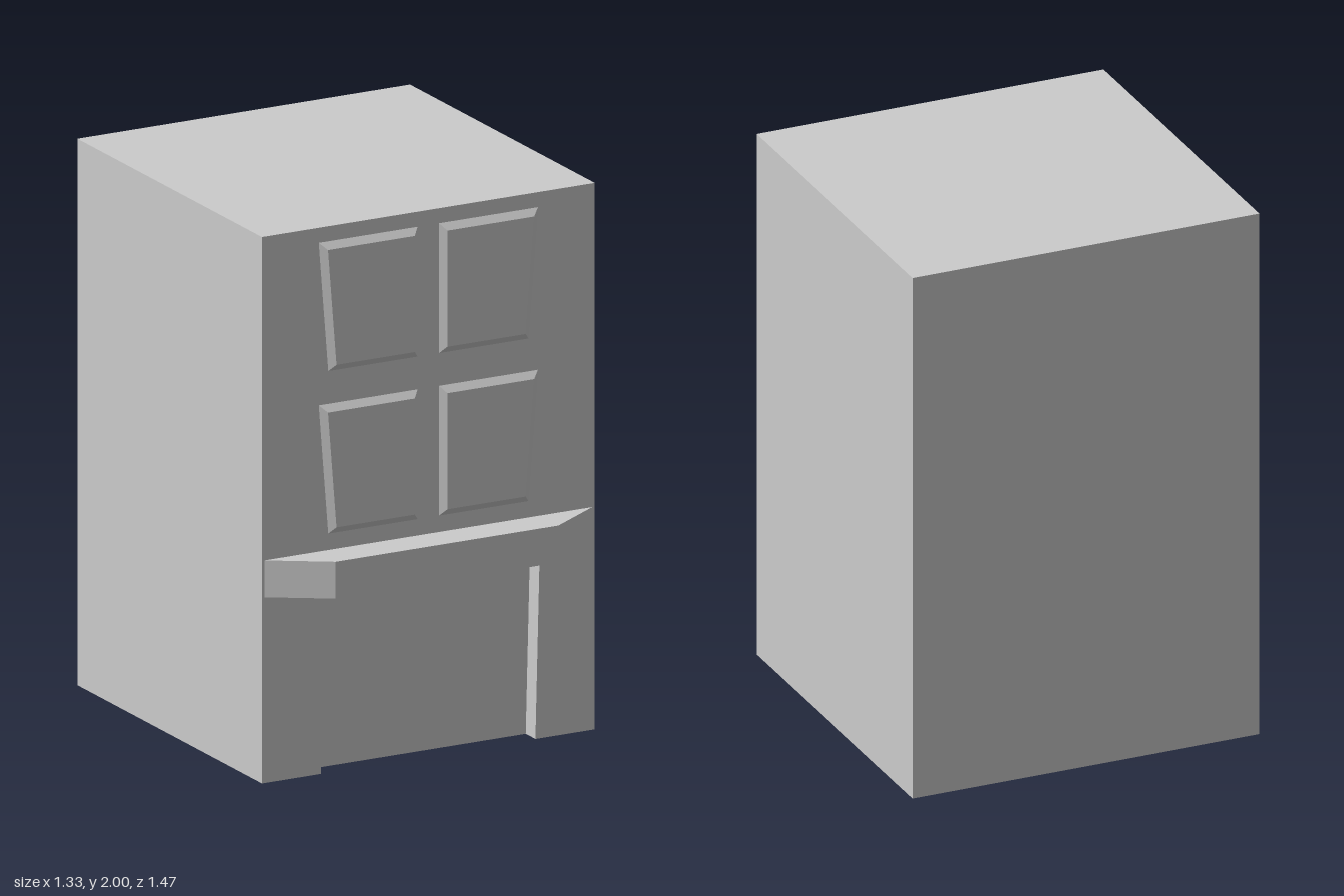
import * as THREE from 'three';

const W = 0.665, H = 2, BACK = -0.735, FRONT = 0.6;      // cabinet shell
const SHELF_LOW = 0.68, SHELF_TOP = 0.815, SHELF_X = 0.655;
const RECESS_TOP = 0.445, RECESS_FOOT = 0.428;            // half widths

const material = new THREE.MeshStandardMaterial({ color: 0xcccccc, side: THREE.DoubleSide });

// Flat four-cornered faces, corners counter-clockwise from outside
function quads(faces) {
  const geometry = new THREE.BufferGeometry();
  const points = faces.flatMap(([a, b, c, d]) => [a, b, c, a, c, d]).flat();
  geometry.setAttribute('position', new THREE.Float32BufferAttribute(points, 3));
  geometry.computeVertexNormals();
  return geometry;
}

// Strip of faces joining two outlines of equal length
function strip(a, b, closed) {
  const faces = [];
  const count = closed ? a.length : a.length - 1;
  for (let i = 0; i < count; i++) {
    const j = (i + 1) % a.length;
    faces.push([a[i], a[j], b[j], b[i]]);
  }
  return faces;
}

const atZ = (outline, z) => outline.map(([x, y]) => [x, y, z]);

export function createModel() {
  const group = new THREE.Group();
  const add = (name, geometry) => {
    const mesh = new THREE.Mesh(geometry, material);
    mesh.name = name;
    group.add(mesh);
    return mesh;
  };

  // Back, sides and roof; the underside is open
  const depth = FRONT - BACK, midZ = (FRONT + BACK) / 2;
  add('backWall', new THREE.PlaneGeometry(2 * W, H).rotateY(Math.PI).translate(0, H / 2, BACK));
  for (const s of [1, -1]) {
    add(s > 0 ? 'leftWall' : 'rightWall',
      new THREE.PlaneGeometry(depth, H).rotateY(s * Math.PI / 2).translate(s * W, H / 2, midZ));
  }
  add('roof', new THREE.PlaneGeometry(2 * W, depth).rotateX(-Math.PI / 2).translate(0, H, midZ));

  // Raised panels: tapered toward the foot on their outer side
  const holes = [];
  for (const y of [0.875, 1.47]) {
    for (const s of [1, -1]) {
      let outer = [[0.043, y], [0.4, y], [0.438, y + 0.475], [0.043, y + 0.475]];
      let inner = [[0.065, y + 0.025], [0.378, y + 0.025], [0.412, y + 0.45], [0.065, y + 0.45]];
      if (s < 0) [outer, inner] = [outer, inner].map(o => o.map(([x, v]) => [-x, v]).reverse());
      const rim = atZ(outer, FRONT), face = atZ(inner, FRONT + 0.02);
      add((y > 1 ? 'upper' : 'lower') + (s > 0 ? 'Left' : 'Right') + 'Panel',
        quads([...strip(rim, face, true), face]));
      holes.push(new THREE.Path(outer.map(([x, v]) => new THREE.Vector2(x, v))));
    }
  }

  // Front wall, cut out for the recess, the hollow shelf and the panels
  const half = [[RECESS_FOOT, 0], [W, 0], [W, H]];
  const cut = [[SHELF_X, SHELF_TOP], [SHELF_X, SHELF_LOW], [RECESS_TOP, SHELF_LOW]];
  const mirror = list => list.map(([x, y]) => [-x, y]).reverse();
  const outline = [...half, ...mirror(half), ...mirror(cut), ...cut];
  const wall = new THREE.Shape(outline.map(([x, y]) => new THREE.Vector2(x, y)));
  wall.holes = holes;
  add('frontWall', new THREE.ShapeGeometry(wall).translate(0, 0, FRONT));

  // Shelf with slanted ends
  const plan = [[-SHELF_X, FRONT], [-0.445, 0.735], [0.445, 0.735], [SHELF_X, FRONT]];
  const low = plan.map(([x, z]) => [x, SHELF_LOW, z]);
  const top = plan.map(([x, z]) => [x, SHELF_TOP, z]);
  add('shelf', quads([...strip(low, top, false), top, [...low].reverse()]));

  // Shallow recess below the shelf
  const arch = [[RECESS_FOOT, 0], [RECESS_TOP, SHELF_LOW], [-RECESS_TOP, SHELF_LOW], [-RECESS_FOOT, 0]];
  const mouth = atZ(arch, FRONT), rear = atZ(arch, FRONT - 0.07);
  add('recess', quads([...strip(mouth, rear, false), rear]));

  return group;
}
